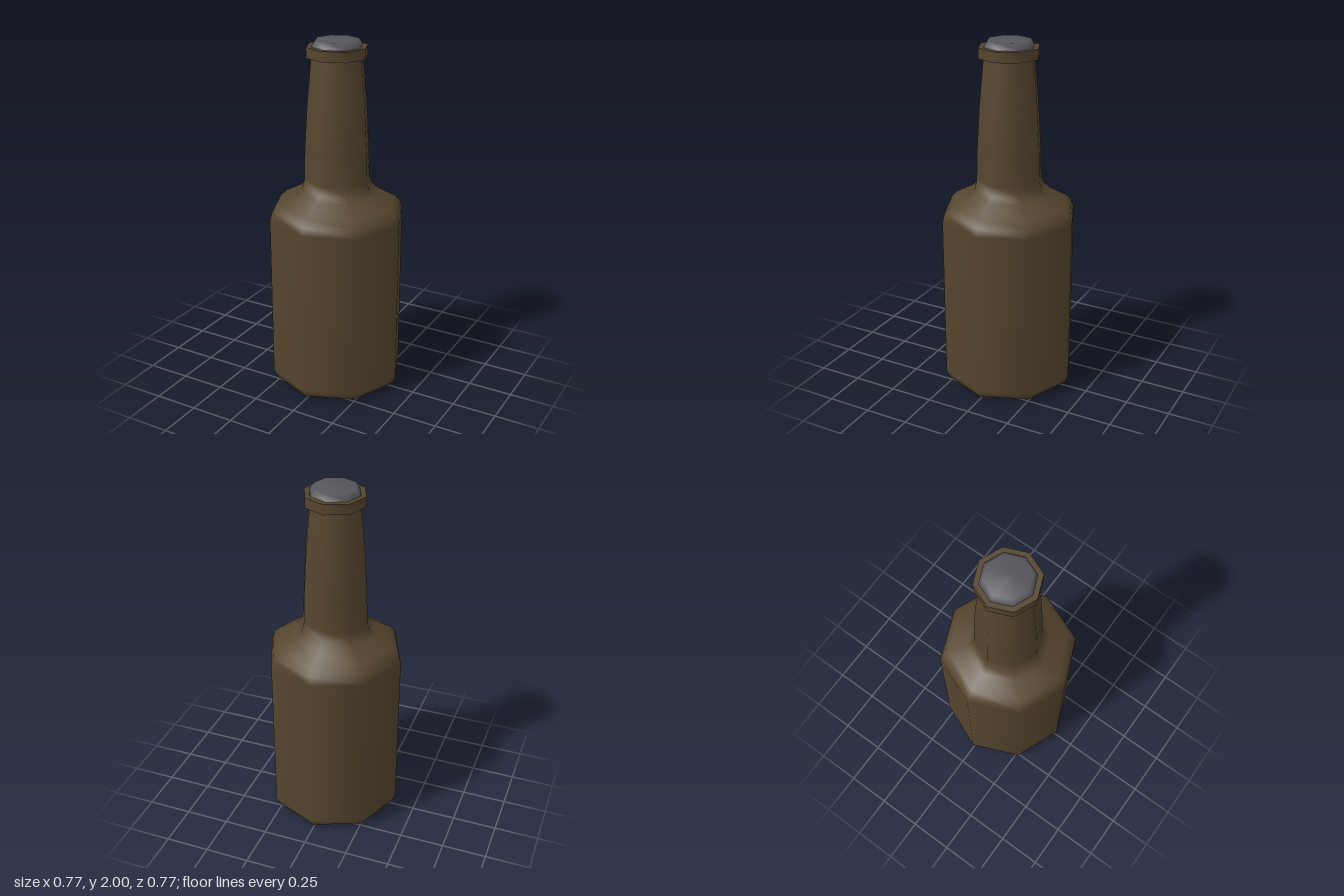
import * as THREE from 'three';
import { toCreasedNormals } from 'three/addons/utils/BufferGeometryUtils.js';

const SIDES = 8;

// Eight-sided turned part from a [radius, height] profile, listed bottom to top
function turned(name, profile, material, crease) {
  let geometry = new THREE.LatheGeometry(profile.map(([r, y]) => new THREE.Vector2(r, y)), SIDES);
  if (crease) geometry = toCreasedNormals(geometry, crease);
  const mesh = new THREE.Mesh(geometry, material);
  mesh.name = name;
  return mesh;
}

export function createModel() {
  const glass = new THREE.MeshStandardMaterial({ name: 'brown glass', color: 0x55452e });
  const metal = new THREE.MeshStandardMaterial({ name: 'grey cap', color: 0x56555b });

  const bottle = new THREE.Group();
  bottle.name = 'bottle';

  // Base, straight wall, sloping shoulder and tapering neck
  bottle.add(turned('body', [
    [0, 0], [0.31, 0], [0.365, 0.02], [0.385, 0.065],
    [0.385, 1.01], [0.372, 1.055], [0.335, 1.09],
    [0.235, 1.145], [0.2, 1.18], [0.187, 1.23],
    [0.182, 1.4], [0.167, 1.65], [0.143, 1.9], [0.14, 1.93],
  ], glass));

  // Square-edged ring around the mouth
  bottle.add(turned('lip', [
    [0.13, 1.9], [0.17, 1.9], [0.17, 1.957], [0.13, 1.957],
  ], glass, Math.PI / 3));

  // Shallow domed stopper
  bottle.add(turned('cap', [
    [0.143, 1.95], [0.138, 1.965], [0.12, 1.992], [0, 2],
  ], metal));

  return bottle;
}
